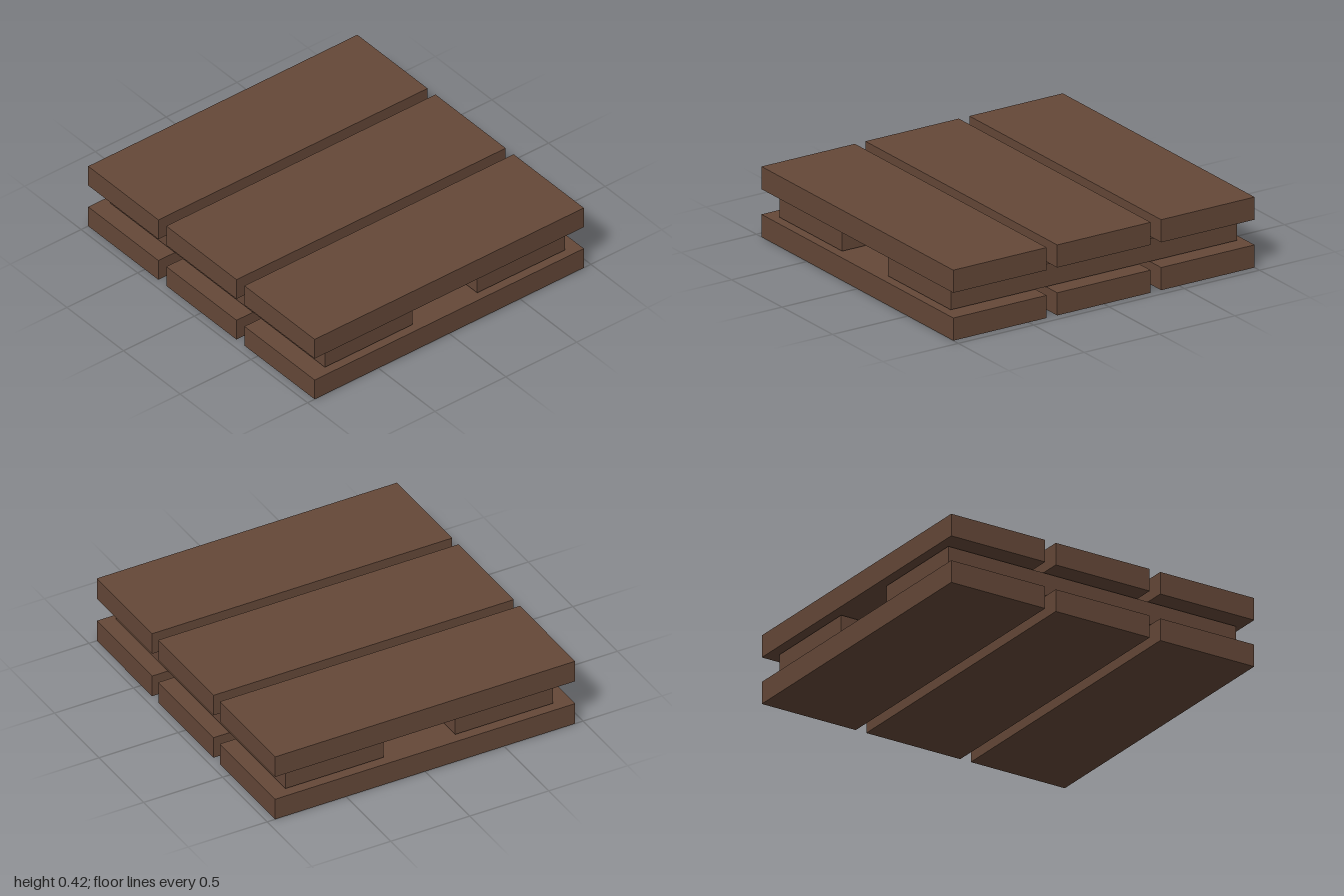
import * as THREE from 'three';

export function createModel() {
  const model = new THREE.Group();
  model.name = 'plankStack';
  const wood = new THREE.MeshStandardMaterial({ color: 0x654838 });
  wood.name = 'darkBrownWood';

  const thickness = 0.134, width = 0.62, length = 1.9;
  const layerStep = 0.1415; // leaves a hairline gap between layers

  function addPlank(name, layer, x, z, alongX) {
    const plank = new THREE.Mesh(
      new THREE.BoxGeometry(alongX ? length : width, thickness, alongX ? width : length),
      wood
    );
    plank.name = name;
    plank.position.set(x, layer * layerStep + thickness / 2, z);
    model.add(plank);
  }

  // Bottom and top decks: three planks running side to side
  for (const [deck, layer] of [['bottom', 0], ['top', 2]]) {
    for (const [place, z] of [['Back', -0.69], ['Middle', 0], ['Front', 0.69]]) {
      addPlank(`${deck}Plank${place}`, layer, 0, z, true);
    }
  }

  // Middle layer: two planks running front to back
  addPlank('crossPlankRight', 1, -0.53, 0.003, false);
  addPlank('crossPlankLeft', 1, 0.545, 0.003, false);

  return model;
}
